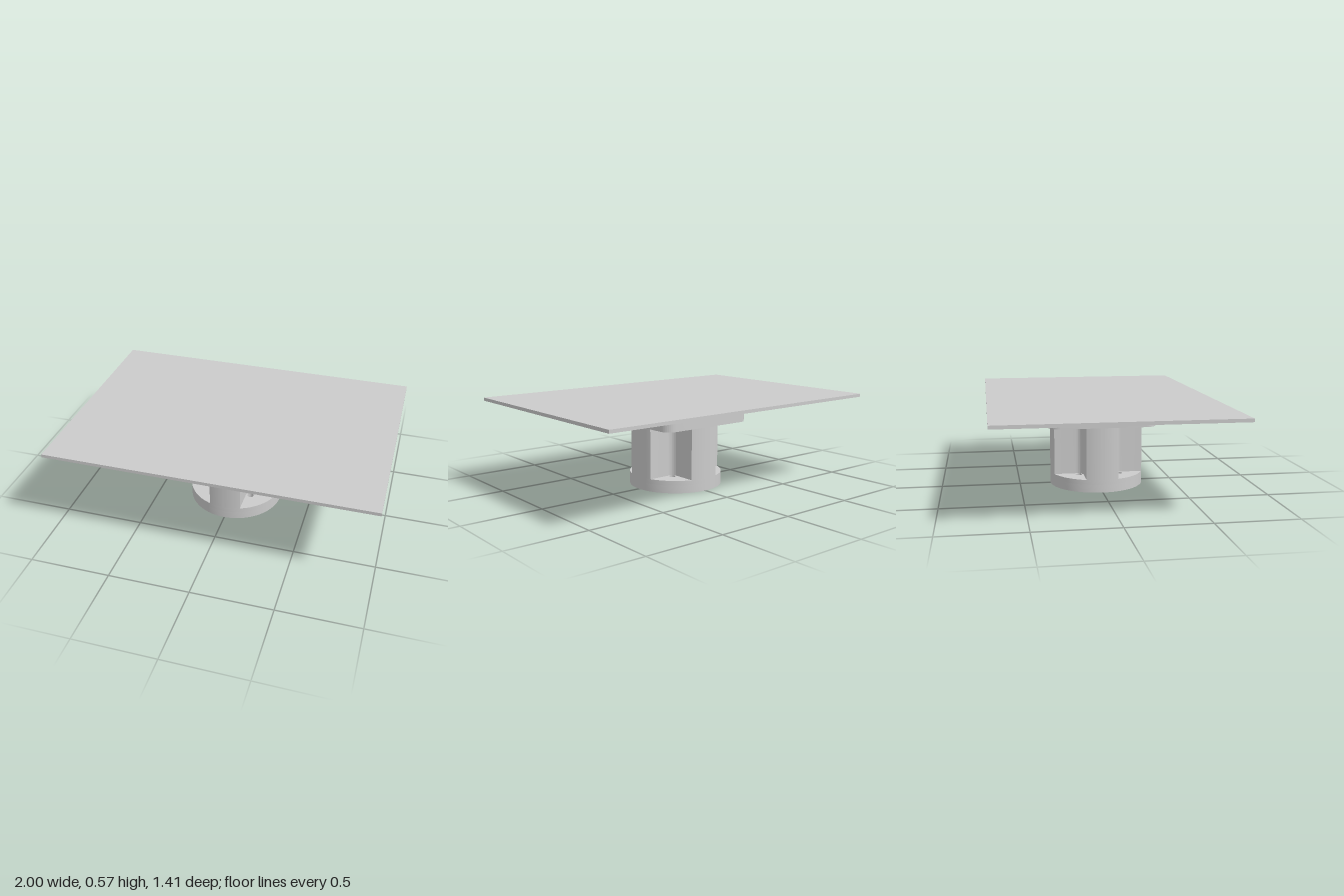
import * as THREE from 'three';
import { toCreasedNormals } from 'three/addons/utils/BufferGeometryUtils.js';

const material = new THREE.MeshStandardMaterial({ color: 0xcccccc });
const QUARTER = Math.PI / 2;

// Adds a round hole to a shape
function addHole(shape, x, y, r) {
  const hole = new THREE.Path();
  hole.absarc(x, y, r, 0, Math.PI * 2, true);
  shape.holes.push(hole);
}

// Adds four holes on the diagonals, at (+-d, +-d)
function addCornerHoles(shape, d, r) {
  for (const x of [-d, d]) for (const y of [-d, d]) addHole(shape, x, y, r);
}

function disc(r) {
  const shape = new THREE.Shape();
  shape.absarc(0, 0, r, 0, Math.PI * 2, false);
  return shape;
}

// Square with rounded corners
function roundedSquare(half, r) {
  const shape = new THREE.Shape();
  const c = half - r;
  [[c, c], [-c, c], [-c, -c], [c, -c]].forEach(([x, y], i) =>
    shape.absarc(x, y, r, i * QUARTER, (i + 1) * QUARTER, false));
  shape.closePath();
  return shape;
}

// Round column with a filleted corner notch cut into each diagonal
function notchedDisc(r, wall, fillet) {
  const shape = new THREE.Shape();
  const a = Math.asin(wall / r);
  const c = Math.hypot(wall + fillet, wall + fillet);
  for (let i = 0; i < 4; i++) {
    const t = i * QUARTER, diag = t + Math.PI / 4;
    shape.absarc(0, 0, r, t - a, t + a, false);
    shape.absarc(c * Math.cos(diag), c * Math.sin(diag), fillet, t - QUARTER, t - Math.PI, true);
  }
  shape.closePath();
  return shape;
}

// Extrudes a plan shape upward between two heights
function slab(name, shape, y0, y1) {
  const geometry = new THREE.ExtrudeGeometry(shape, { depth: y1 - y0, bevelEnabled: false, curveSegments: 32 });
  geometry.rotateX(-QUARTER);
  geometry.translate(0, y0, 0);
  const mesh = new THREE.Mesh(toCreasedNormals(geometry, 0.6), material);
  mesh.name = name;
  return mesh;
}

export function createModel() {
  const model = new THREE.Group();
  model.name = 'flangedPlateStand';

  // Base: rim around an annular recess, central boss, drilled floor
  const rim = disc(0.3);
  addHole(rim, 0, 0, 0.21);
  const floor = disc(0.3);
  addCornerHoles(floor, 0.131, 0.02);
  model.add(slab('baseRim', rim, 0, 0.05));
  model.add(slab('centreBoss', disc(0.105), 0, 0.05));
  model.add(slab('baseFloor', floor, 0.05, 0.08));

  // Column with four pockets
  model.add(slab('column', notchedDisc(0.3, 0.1, 0.045), 0.08, 0.415));

  // Square flange with bolt holes
  const flange = roundedSquare(0.335, 0.07);
  addCornerHoles(flange, 0.265, 0.028);
  model.add(slab('flange', flange, 0.415, 0.553));

  // Thin top plate
  const plate = new THREE.Mesh(new THREE.BoxGeometry(2, 0.02, 1.41), material);
  plate.name = 'topPlate';
  plate.position.y = 0.563;
  model.add(plate);

  return model;
}
